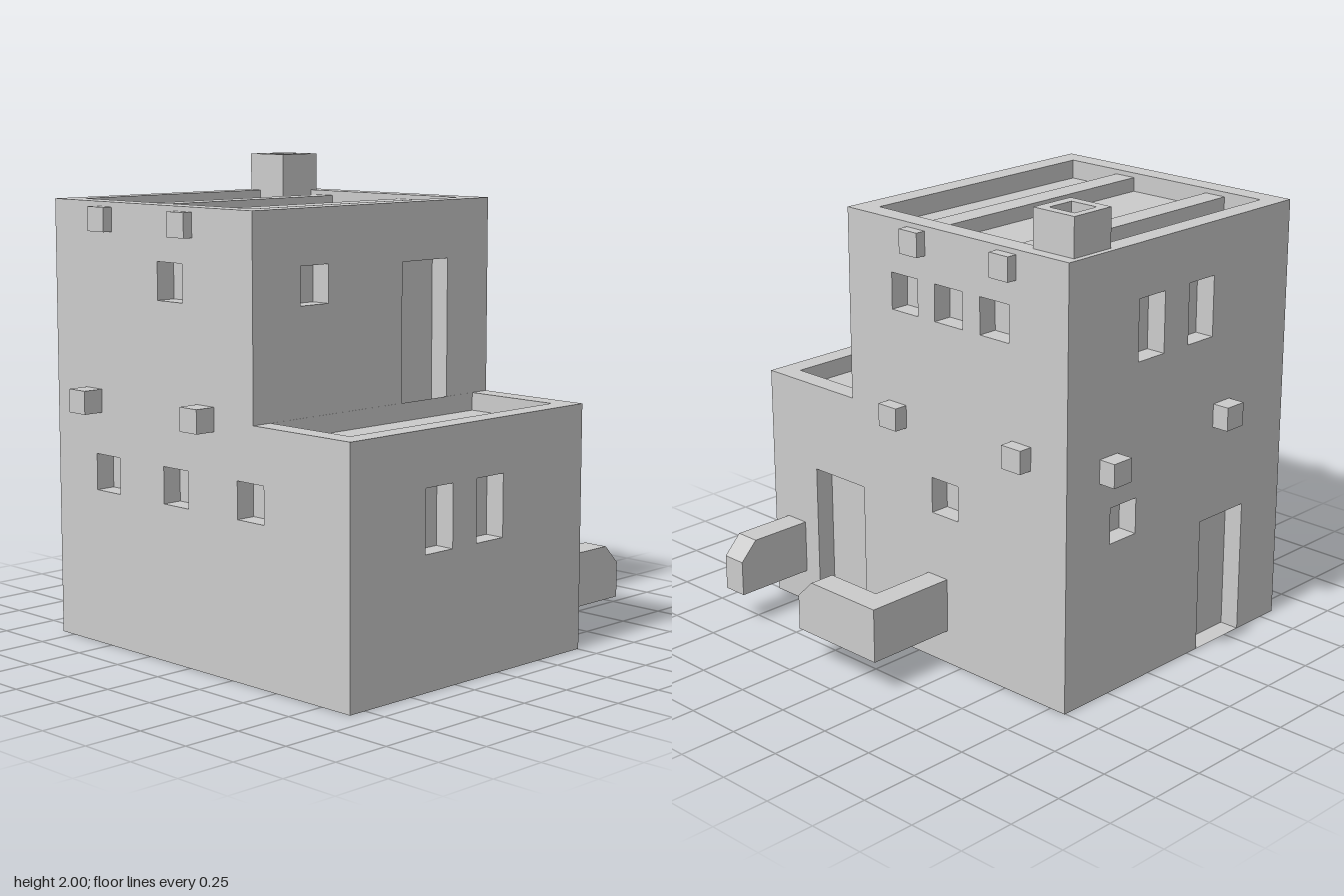
import * as THREE from 'three';

const shellMat = new THREE.MeshStandardMaterial({ color: 0xcccccc, flatShading: true, side: THREE.DoubleSide });
const solidMat = new THREE.MeshStandardMaterial({ color: 0xcccccc, flatShading: true });

// Main dimensions
const X0 = -0.83, X1 = 0.505;              // side walls
const BACK = -0.825, MID = 0.38, FRONT = 0.9; // back, upper front, lower front
const LOW = 1.025, TOP = 1.84;             // parapet heights
const E = 0.001;                           // keeps openings clear of the outline

const polygon = pts => new THREE.Shape(pts.map(p => new THREE.Vector2(p[0], p[1])));
const rect = (a, b, c, d) => [[a, b], [c, b], [c, d], [a, d]];

function mesh(name, geometry, material = solidMat) {
  const m = new THREE.Mesh(geometry, material);
  m.name = name;
  return m;
}

function box(name, x0, x1, y0, y1, z0, z1) {
  const g = new THREE.BoxGeometry(x1 - x0, y1 - y0, z1 - z0);
  g.translate((x0 + x1) / 2, (y0 + y1) / 2, (z0 + z1) / 2);
  return mesh(name, g);
}

// Flat panel facing +z; each opening [u0, v0, u1, v1] becomes a recessed niche
function panel(name, outline, openings, recessName = 'windowNiche', depth = 0.085) {
  const group = new THREE.Group();
  group.name = name;
  const shape = polygon(outline);
  for (const [a, b, c, d] of openings) {
    shape.holes.push(new THREE.Path(rect(a, b, c, d).map(p => new THREE.Vector2(...p))));
    const g = new THREE.BoxGeometry(c - a, d - b, depth);
    const index = Array.from(g.index.array);
    index.splice(24, 6); // leave the outer face open
    g.setIndex(index);
    g.clearGroups();
    g.translate((a + c) / 2, (b + d) / 2, -depth / 2);
    group.add(mesh(b < 0.01 ? 'doorNiche' : recessName, g, shellMat));
  }
  group.add(mesh(name + 'Face', new THREE.ShapeGeometry(shape), shellMat));
  return group;
}

// Prism from a profile, starting at local z = 0
const prism = (pts, depth) => new THREE.ExtrudeGeometry(polygon(pts), { depth, bevelEnabled: false });

export function createModel() {
  const model = new THREE.Group();
  model.name = 'house';

  // Lower and upper front walls
  const lowerFront = panel('lowerFrontWall', rect(X0, 0, X1, LOW),
    [[-0.425, 0.543, -0.272, 0.8], [-0.135, 0.543, 0.02, 0.8]]);
  lowerFront.position.z = FRONT;
  const upperFront = panel('upperFrontWall', rect(X0, 0.95, X1, TOP),
    [[-0.58, 1.463, -0.43, 1.617], [-0.012, 0.95 + E, 0.257, 1.6]]);
  upperFront.position.z = MID;

  // Back wall, mirrored axis (u = -x)
  const back = panel('backWall', rect(-X1, 0, -X0, TOP), [
    [-0.103, 1.363, 0.05, 1.617], [0.197, 1.363, 0.35, 1.617],
    [-0.252, 0.648, -0.1, 0.8], [0.309, E, 0.585, 0.575]]);
  back.rotation.y = Math.PI;
  back.position.z = BACK;

  // Stepped side walls
  const step = s => [[s * BACK, 0], [s * FRONT, 0], [s * FRONT, LOW], [s * MID, LOW], [s * MID, TOP], [s * BACK, TOP]];
  const left = panel('leftWall', step(-1), [
    [-0.127, 1.463, 0.021, 1.617], [0.116, 1.463, 0.27, 1.617], [0.365, 1.463, 0.52, 1.617],
    [0.09, 0.648, 0.238, 0.8], [-0.62, E, -0.32, 0.645]]);
  left.rotation.y = Math.PI / 2;
  left.position.x = X1;
  const right = panel('rightWall', step(1), [
    [-0.175, 1.463, -0.025, 1.617], [-0.575, 0.648, -0.425, 0.8],
    [-0.15, 0.648, 0, 0.8], [0.287, 0.648, 0.437, 0.8]]);
  right.rotation.y = -Math.PI / 2;
  right.position.x = X0;

  // Roof and terrace with sunken floors inside the parapets (v = -z)
  const roof = panel('roof', rect(X0, -MID, X1, -BACK), [[-0.74, -0.287, 0.417, 0.74]], 'roofFloor', 0.08);
  roof.position.y = TOP;
  const terrace = panel('terrace', rect(X0, -FRONT, X1, -MID), [[-0.74, -0.81, 0.417, -MID - E]], 'terraceFloor', 0.075);
  terrace.position.y = LOW;
  for (const deck of [roof, terrace]) deck.rotation.x = -Math.PI / 2;

  model.add(lowerFront, upperFront, back, left, right, roof, terrace);

  // Beams passing through the side walls
  for (const z of [-0.557, -0.065]) model.add(box('roofBeam', -0.873, 0.55, 1.72, 1.82, z, z + 0.1));
  for (const z of [-0.637, 0.055]) model.add(box('floorBeam', -0.92, 0.565, 0.975, 1.072, z, z + 0.1));
  // Beam ends on the back wall
  model.add(box('backBeamEnd', 0.216, 0.318, 0.92, 1.02, -0.9, -0.74));
  model.add(box('backBeamEnd', -0.473, -0.372, 0.972, 1.072, -0.9, -0.74));

  // Chimney with a square flue
  const flue = panel('chimneyRim', rect(0.246, 0.593, 0.452, 0.8), [[0.288, 0.637, 0.412, 0.763]], 'flue', 0.12);
  flue.rotation.x = -Math.PI / 2;
  flue.position.y = 2;
  const chimney = new THREE.Group();
  chimney.name = 'chimney';
  const sides = new THREE.BoxGeometry(0.206, 0.24, 0.207);
  const sideIndex = Array.from(sides.index.array);
  sideIndex.splice(12, 6); // open top, closed by the rim
  sides.setIndex(sideIndex);
  sides.clearGroups();
  sides.translate(0.349, 1.88, -0.6965);
  chimney.add(flue, mesh('chimneySides', sides, shellMat));
  model.add(chimney);

  // Yard walls beside the door, with chamfered ends
  const y0 = 0.145, y1 = 0.375, yc = 0.295;
  const yardFront = mesh('yardWallFront',
    prism([[X1, y0], [0.863, y0], [0.863, yc], [0.785, y1], [X1, y1]], 0.11));
  yardFront.position.z = 0.705;
  const yardReturn = mesh('yardWallReturn',
    prism([[-0.283, y0], [0.172, y0], [0.172, y1], [-0.2, y1], [-0.283, yc]], 0.112));
  yardReturn.rotation.y = Math.PI / 2;
  yardReturn.position.x = 0.8;
  model.add(yardFront, yardReturn, box('yardWallBack', X1, 0.8, y0, y1, -0.172, -0.064));

  return model;
}
